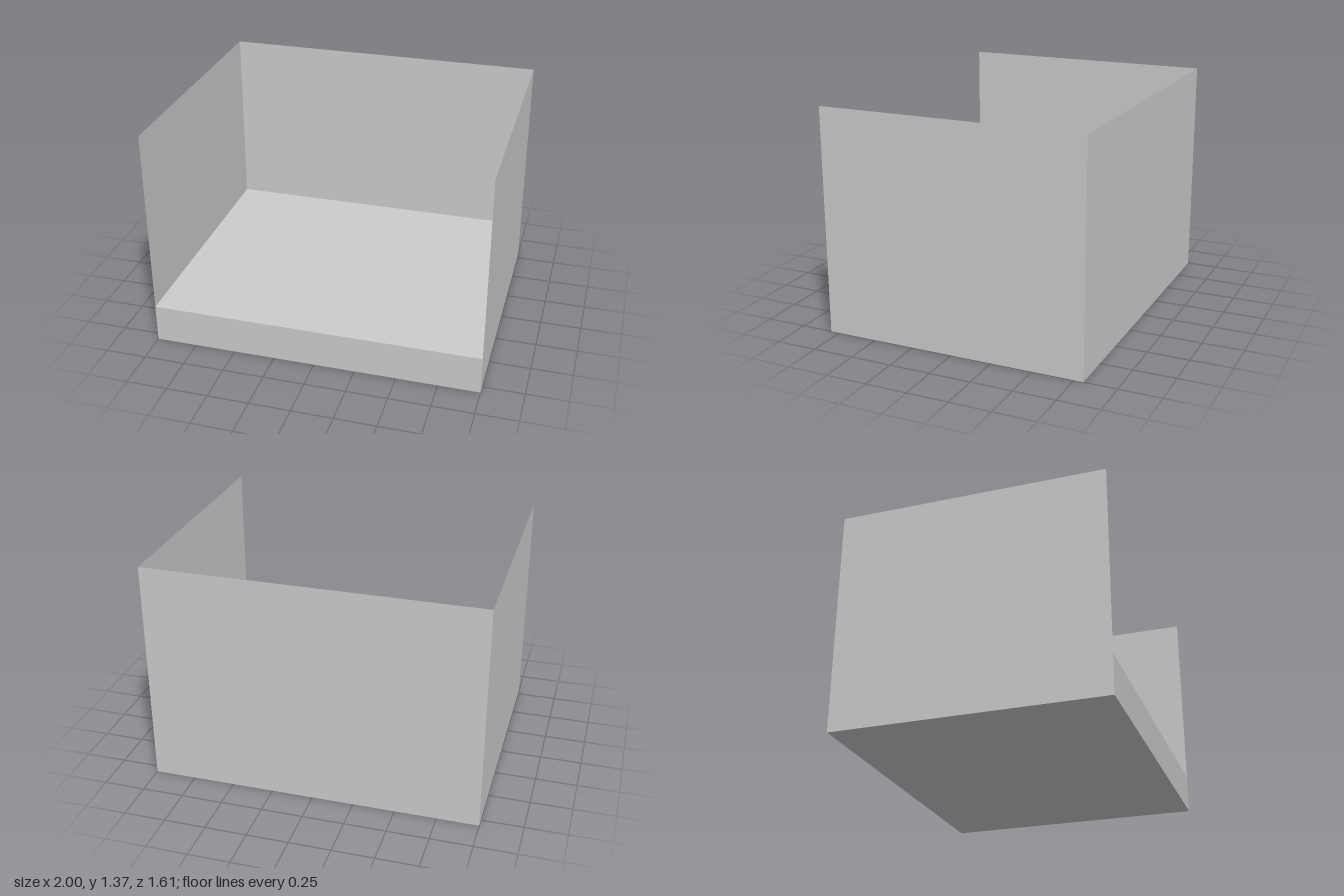
import * as THREE from 'three';

const W = 2, H = 1.37, D = 1.61, BASE = 0.235;

export function createModel() {
  const model = new THREE.Group();
  const solid = new THREE.MeshStandardMaterial({ color: 0xcccccc, flatShading: true });
  const sheet = new THREE.MeshStandardMaterial({ color: 0xcccccc, flatShading: true, side: THREE.DoubleSide });

  // Thick floor slab
  const base = new THREE.Mesh(new THREE.BoxGeometry(W, BASE, D), solid);
  base.name = 'floorSlab';
  base.position.y = BASE / 2;
  model.add(base);

  // Paper-thin walls standing on the slab's edges
  const wallHeight = H - BASE;
  function addWall(name, width, x, z, turn) {
    const wall = new THREE.Mesh(new THREE.PlaneGeometry(width, wallHeight), sheet);
    wall.name = name;
    wall.position.set(x, BASE + wallHeight / 2, z);
    wall.rotation.y = turn;
    model.add(wall);
  }
  addWall('backWall', W, 0, -D / 2, Math.PI);
  addWall('leftWall', D, W / 2, 0, Math.PI / 2);
  addWall('rightWall', D, -W / 2, 0, -Math.PI / 2);

  return model;
}
